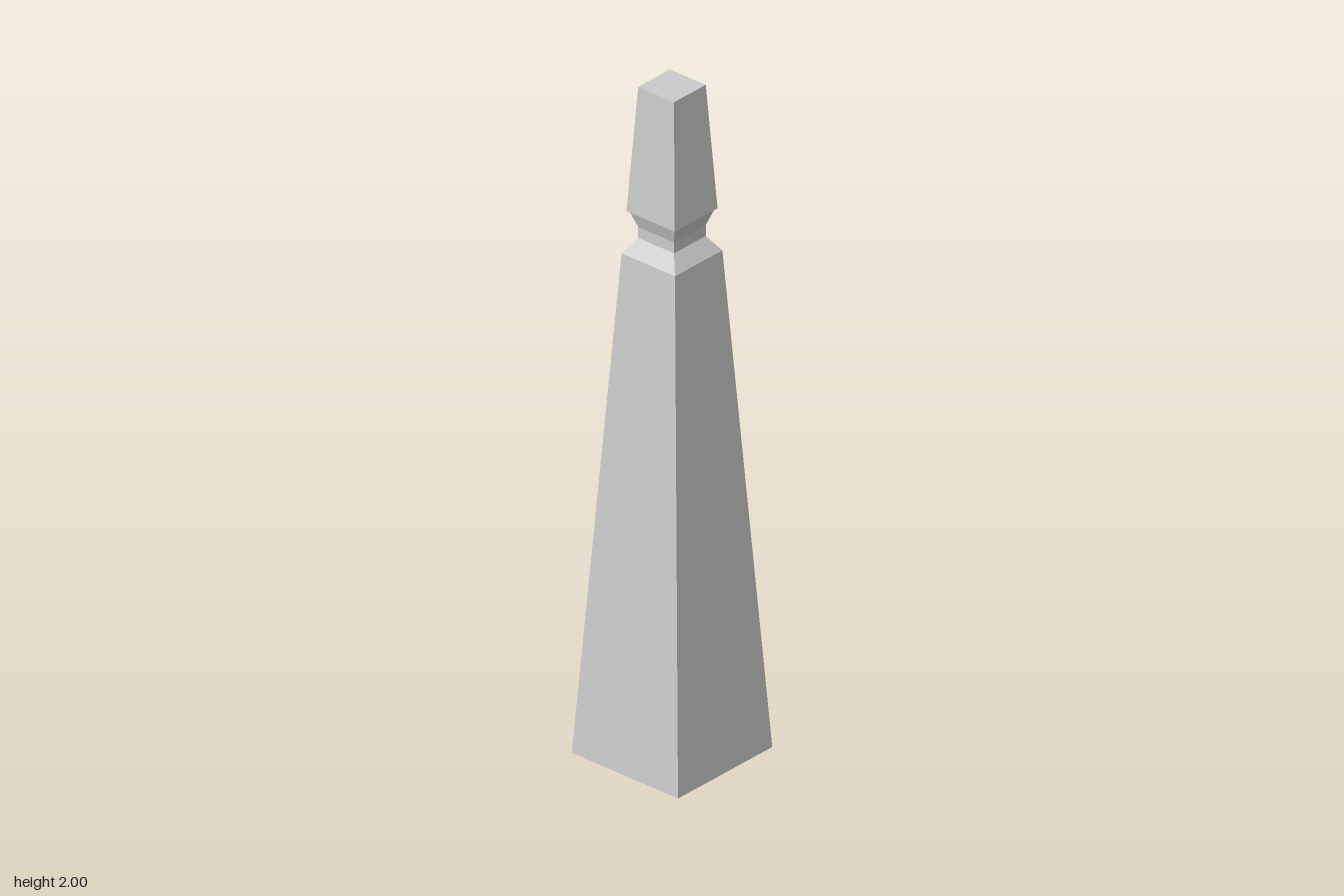
import * as THREE from 'three';

const material = new THREE.MeshStandardMaterial({ color: 0xcccccc, flatShading: true });

// Square solid swept up through [halfWidth, y] sections, aligned to the axes
function squareTurning(name, sections) {
  const points = sections.map(([half, y]) => new THREE.Vector2(half * Math.SQRT2, y));
  const indexed = new THREE.LatheGeometry(points, 4);
  indexed.rotateY(Math.PI / 4);
  const geometry = indexed.toNonIndexed();
  geometry.computeVertexNormals();
  const mesh = new THREE.Mesh(geometry, material);
  mesh.name = name;
  return mesh;
}

export function createModel() {
  const model = new THREE.Group();
  model.name = 'taperedPost';

  // Long tapering shaft with a closed base and chamfered shoulder
  model.add(squareTurning('shaft', [[0, 0], [0.187, 0], [0.094, 1.5], [0.063, 1.545]]));

  // Narrow neck flaring out beneath the cap
  model.add(squareTurning('neck', [[0.063, 1.545], [0.063, 1.578], [0.08, 1.627]]));

  // Tapered cap with a slight overhang and flat top
  model.add(squareTurning('cap', [[0, 1.627], [0.085, 1.627], [0.063, 2], [0, 2]]));

  return model;
}
